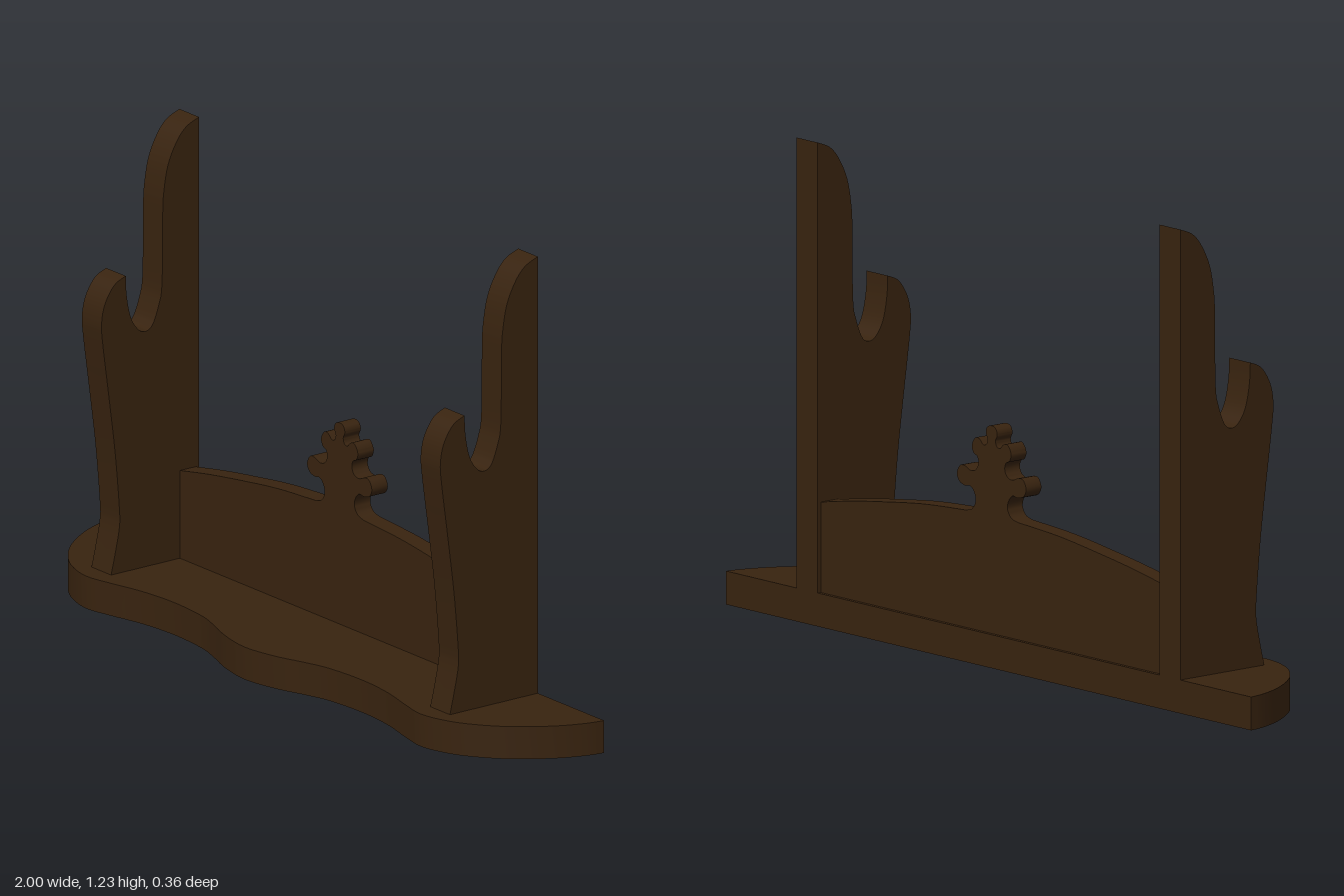
import * as THREE from 'three';
import { toCreasedNormals } from 'three/addons/utils/BufferGeometryUtils.js';

const BASE_H = 0.085;
const BACK = -0.18;

const vec = (pts) => pts.map(([x, y]) => new THREE.Vector2(x, y));
const mirrored = (half) => [...half, ...half.slice(0, -1).reverse().map(([x, y]) => [-x, y])];

// Outline made of smooth runs that meet at sharp corners
function outline(runs) {
  const shape = new THREE.Shape();
  shape.moveTo(...runs[0][0]);
  runs.forEach((run, i) => {
    if (i > 0) shape.lineTo(...run[0]);
    if (run.length > 2) shape.splineThru(vec(run.slice(1)));
    else if (run.length === 2) shape.lineTo(...run[1]);
  });
  shape.closePath();
  return shape;
}

function board(shape, depth, curveSegments = 4) {
  return new THREE.ExtrudeGeometry(shape, { depth, bevelEnabled: false, curveSegments });
}

export function createModel() {
  const group = new THREE.Group();
  const wood = new THREE.MeshStandardMaterial({ color: 0x38230f });
  wood.name = 'dark wood';

  const add = (name, geometry) => {
    const mesh = new THREE.Mesh(toCreasedNormals(geometry, 0.6), wood);
    mesh.name = name;
    group.add(mesh);
    return mesh;
  };

  // Base board with a scalloped front edge (x, -z)
  const scallop = mirrored([
    [-1, 0.18], [-0.99, 0.13], [-0.957, 0.053], [-0.893, -0.037], [-0.82, -0.1],
    [-0.754, -0.134], [-0.68, -0.15], [-0.6, -0.136], [-0.5, -0.113], [-0.385, -0.103],
    [-0.26, -0.112], [-0.18, -0.134], [-0.1, -0.161], [0, -0.177],
  ]);
  add('base', board(outline([scallop]), BASE_H).rotateX(-Math.PI / 2));

  // Uprights with a hooked cradle (z, y)
  const post = outline([
    [[BACK, BASE_H], [BACK, 1.23]],
    [[BACK, 1.23], [-0.14, 1.213], [-0.11, 1.18], [-0.083, 1.125], [-0.07, 1.06],
      [-0.066, 1.0], [-0.064, 0.82], [-0.054, 0.764], [-0.034, 0.715], [-0.012, 0.702],
      [0.011, 0.712], [0.034, 0.748], [0.047, 0.807], [0.05, 0.86]],
    [[0.05, 0.86], [0.086, 0.843], [0.115, 0.8], [0.126, 0.75], [0.122, 0.694],
      [0.102, 0.547], [0.083, 0.4], [0.07, 0.254], [0.07, 0.205], [0.083, 0.14], [0.096, BASE_H]],
  ]);
  for (const [name, x] of [['leftUpright', 0.69], ['rightUpright', -0.69]]) {
    add(name, board(post, 0.08).rotateY(-Math.PI / 2).translate(0.04, 0, 0)).position.x = x;
  }

  // Back panel with an arched top edge and a lobed finial
  const arch = [[0.65, 0.315], [0.54, 0.335], [0.417, 0.353], [0.257, 0.373], [0.1, 0.383]];
  const finial = mirrored([
    [0.1, 0.383], [0.075, 0.39], [0.061, 0.41], [0.065, 0.432], [0.08, 0.447], [0.1, 0.445],
    [0.122, 0.452], [0.132, 0.472], [0.12, 0.494], [0.1, 0.495], [0.08, 0.487], [0.06, 0.492],
    [0.05, 0.51], [0.055, 0.527], [0.068, 0.533], [0.075, 0.552], [0.062, 0.573],
    [0.045, 0.572], [0.032, 0.56], [0.02, 0.563], [0.015, 0.577], [0.022, 0.592],
    [0.016, 0.608], [0, 0.613],
  ]);
  const panel = outline([
    [[-0.65, BASE_H], [0.65, BASE_H]],
    arch,
    finial,
    arch.map(([x, y]) => [-x, y]).reverse(),
  ]);
  add('backPanel', board(panel, 0.05, 3).translate(0, 0, BACK + 0.01));

  return group;
}
